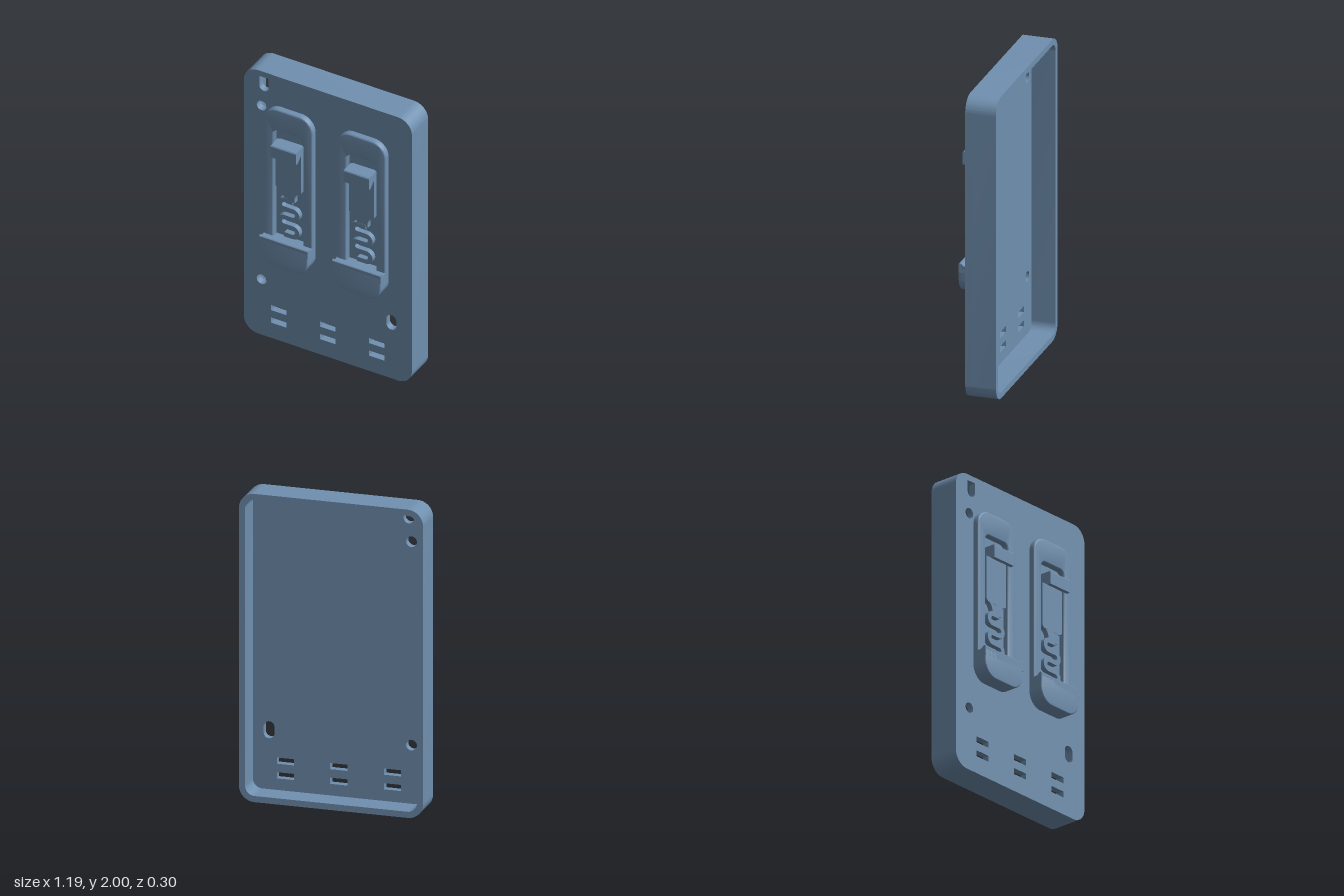
import * as THREE from 'three';
import { toCreasedNormals } from 'three/addons/utils/BufferGeometryUtils.js';

const BODY_HW = 0.595, WALL = 0.04, FRONT = 0.05, BACK = -0.15, FLOOR = 0.005;

// Rounded rectangle with separate top and bottom corner radii
function roundRect(x0, y0, x1, y1, rTop, rBot = rTop, Type = THREE.Shape) {
  const s = new Type(), H = Math.PI / 2;
  s.moveTo(x0 + rBot, y0);
  s.lineTo(x1 - rBot, y0);
  if (rBot) s.absarc(x1 - rBot, y0 + rBot, rBot, -H, 0, false);
  s.lineTo(x1, y1 - rTop);
  if (rTop) s.absarc(x1 - rTop, y1 - rTop, rTop, 0, H, false);
  s.lineTo(x0 + rTop, y1);
  if (rTop) s.absarc(x0 + rTop, y1 - rTop, rTop, H, 2 * H, false);
  s.lineTo(x0, y0 + rBot);
  if (rBot) s.absarc(x0 + rBot, y0 + rBot, rBot, 2 * H, 3 * H, false);
  return s;
}
const holeRect = (...a) => roundRect(a[0], a[1], a[2], a[3], a[4] ?? 0, a[5] ?? a[4] ?? 0, THREE.Path);

// Extrude a shape from z0 to z1, with an optional edge bevel inside its outline
function slab(shape, z0, z1, bevel = 0) {
  const g = new THREE.ExtrudeGeometry(shape, {
    depth: z1 - z0 - 2 * bevel, curveSegments: 12, bevelEnabled: bevel > 0,
    bevelSize: bevel, bevelThickness: bevel, bevelOffset: -bevel, bevelSegments: 3,
  });
  g.translate(0, 0, z0 + bevel);
  return toCreasedNormals(g, 0.6);
}

// Extrude a side profile of [z, y] points along x
function sideProfile(points, halfWidth) {
  const s = new THREE.Shape(points.map(([z, y]) => new THREE.Vector2(-z, y)));
  const g = new THREE.ExtrudeGeometry(s, { depth: 2 * halfWidth, bevelEnabled: false });
  g.translate(0, 0, -halfWidth);
  g.rotateY(Math.PI / 2);
  return g;
}

// Flat ribbon that zigzags downwards
function springShape(top, rows, pitch, halfRun, halfWidth) {
  const left = [], right = [], r = pitch / 2;
  const add = (x, y, dx, dy) => {
    left.push(new THREE.Vector2(x - dy * halfWidth, y + dx * halfWidth));
    right.push(new THREE.Vector2(x + dy * halfWidth, y - dx * halfWidth));
  };
  for (let i = 0; i < rows; i++) {
    const dir = i % 2 ? 1 : -1, y = top - i * pitch;
    add(-dir * halfRun, y, dir, 0);
    add(dir * halfRun, y, dir, 0);
    if (i === rows - 1) break;
    for (let k = 1; k < 12; k++) {
      const a = (k / 12) * Math.PI;
      add(dir * (halfRun + r * Math.sin(a)), y - r + r * Math.cos(a), dir * Math.cos(a), -Math.sin(a));
    }
  }
  return new THREE.Shape([...left, ...right.reverse()]);
}

export function createModel() {
  const blue = new THREE.MeshStandardMaterial({ color: 0x7090b0 });
  blue.name = 'steelBlue';
  const model = new THREE.Group();
  model.name = 'mountingPlate';
  const part = (name, geometry, parent) => {
    const m = new THREE.Mesh(geometry, blue);
    m.name = name;
    parent.add(m);
    return m;
  };

  // Front panel with screw holes and tie slots
  const panel = roundRect(-BODY_HW, 0, BODY_HW, 2, 0.1);
  for (const y of [0.42, 1.74]) {
    panel.holes.push(new THREE.Path().absarc(-0.47, y, 0.035, 0, 2 * Math.PI, false));
  }
  panel.holes.push(holeRect(0.415, 0.37, 0.485, 0.48, 0.034));
  panel.holes.push(holeRect(-0.486, 1.857, -0.42, 1.96, 0, 0.032));
  for (const x of [-0.348, 0, 0.345]) {
    for (const y of [0.135, 0.23]) panel.holes.push(holeRect(x - 0.055, y - 0.02, x + 0.055, y + 0.02));
  }
  part('frontPanel', slab(panel, FLOOR, FRONT), model);

  // Rim wall around the open back
  const rim = roundRect(-BODY_HW, 0, BODY_HW, 2, 0.1);
  rim.holes.push(holeRect(-BODY_HW + WALL, WALL, BODY_HW - WALL, 2 - WALL, 0.06));
  part('rimWall', slab(rim, BACK, FLOOR), model);

  // Two identical spring clips
  for (const [name, x] of [['rightClip', -0.26], ['leftClip', 0.258]]) {
    const clip = new THREE.Group();
    clip.name = name;
    clip.position.x = x;
    model.add(clip);

    // Raised frame with a long window
    const frame = roundRect(-0.172, 0.63, 0.172, 1.78, 0.1);
    frame.holes.push(holeRect(-0.104, 0.8, 0.104, 1.625, 0.035, 0.01));
    part('clipFrame', slab(frame, 0.035, 0.09, 0.01), clip);

    // Bottom holder with an overhanging lip
    part('bottomHolder', slab(roundRect(-0.172, 0.63, 0.172, 0.812, 0, 0.1), 0.035, 0.15, 0.008), clip);
    part('holderLip', sideProfile([
      [0.05, 0.77], [0.15, 0.77], [0.15, 0.825], [0.145, 0.83], [0.132, 0.83], [0.115, 0.814], [0.05, 0.814],
    ], 0.172), clip);

    // Sliding tongue and its hook
    part('tongue', slab(roundRect(-0.09, 1.18, 0.09, 1.54, 0.02, 0.025), 0.045, 0.085), clip);
    part('hook', sideProfile([
      [0.06, 1.485], [0.092, 1.485], [0.124, 1.455], [0.15, 1.455], [0.15, 1.535], [0.145, 1.542], [0.06, 1.542],
    ], 0.09), clip);

    // Neck and zigzag spring
    const neck = new THREE.Shape();
    neck.moveTo(-0.07, 1.185);
    neck.quadraticCurveTo(-0.035, 1.17, -0.03, 1.11);
    neck.lineTo(0.045, 1.11);
    neck.quadraticCurveTo(0.035, 1.165, 0.07, 1.185);
    part('springNeck', slab(neck, 0.045, 0.084), clip);
    part('zigzagSpring', slab(springShape(1.11, 5, 0.065, 0.03, 0.016), 0.045, 0.085), clip);
  }
  return model;
}
